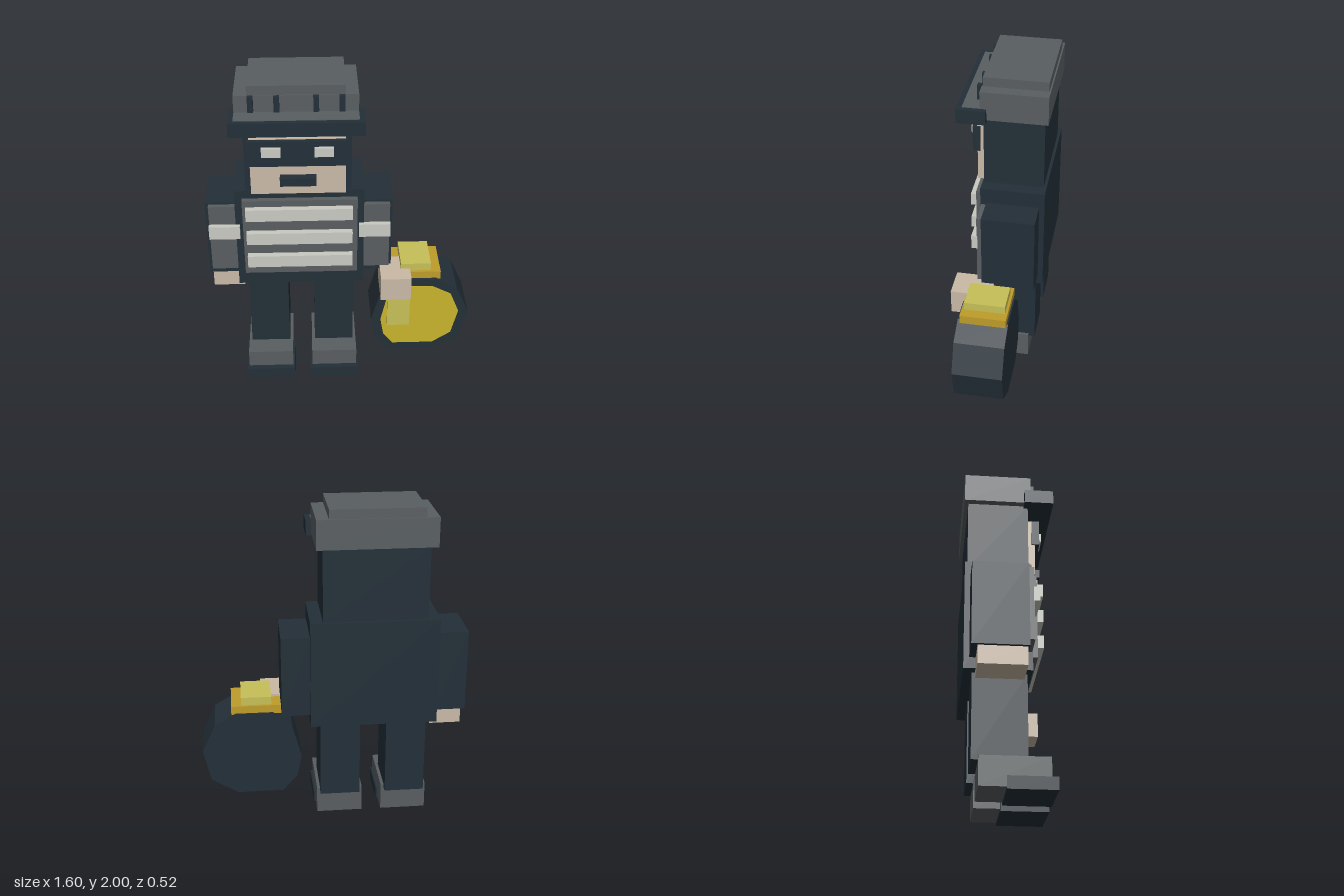
import * as THREE from 'three';

const mat = (name, color) => {
  const m = new THREE.MeshStandardMaterial({ color });
  m.name = name;
  return m;
};

export function createModel() {
  const navy = mat('navy', 0x232f38);
  const grey = mat('grey', 0x595e61);
  const skin = mat('skin', 0xcabaa7);
  const white = mat('offWhite', 0xc8cac2);
  const gold = mat('gold', 0xbf9d2b);
  const yellow = mat('yellow', 0xc8b42c);
  const paleYellow = mat('paleYellow', 0xc7c058);

  const model = new THREE.Group();
  model.name = 'burglarFigure';
  const group = (name) => {
    const g = new THREE.Group();
    g.name = name;
    model.add(g);
    return g;
  };

  // Box from its extents on each axis
  const box = (parent, name, material, [x0, x1], [y0, y1], [z0, z1]) => {
    const mesh = new THREE.Mesh(new THREE.BoxGeometry(x1 - x0, y1 - y0, z1 - z0), material);
    mesh.position.set((x0 + x1) / 2, (y0 + y1) / 2, (z0 + z1) / 2);
    mesh.name = name;
    parent.add(mesh);
  };

  // Polygon in the front plane, extruded from z0 to z1
  const slab = (parent, name, material, points, z0, z1) => {
    const shape = new THREE.Shape(points.map(([x, y]) => new THREE.Vector2(x, y)));
    const geo = new THREE.ExtrudeGeometry(shape, { depth: z1 - z0, bevelEnabled: false });
    const mesh = new THREE.Mesh(geo, material);
    mesh.position.z = z0;
    mesh.name = name;
    parent.add(mesh);
  };

  // Head and face
  const head = group('head');
  box(head, 'hair', navy, [-0.555, 0.065], [1.33, 1.77], [-0.24, 0.115]);
  box(head, 'face', skin, [-0.52, 0.03], [1.33, 1.69], [0.115, 0.158]);
  box(head, 'mask', navy, [-0.53, 0.04], [1.525, 1.685], [0.14, 0.184]);
  for (const x of [-0.395, -0.095]) {
    box(head, 'eye', white, [x - 0.055, x + 0.055], [1.595, 1.65], [0.18, 0.206]);
  }
  box(head, 'moustache', navy, [-0.35, -0.14], [1.405, 1.457], [0.158, 0.206]);
  box(head, 'mouth', skin, [-0.322, -0.167], [1.36, 1.405], [0.155, 0.196]);

  // Cap
  const cap = group('cap');
  box(cap, 'capBand', grey, [-0.595, 0.103], [1.77, 1.945], [-0.262, 0.128]);
  box(cap, 'capTop', grey, [-0.52, 0.03], [1.945, 2], [-0.253, 0.122]);
  box(cap, 'brim', navy, [-0.625, 0.135], [1.755, 1.84], [0.09, 0.26]);
  box(cap, 'brimInlay', grey, [-0.595, 0.103], [1.838, 1.844], [0.125, 0.23]);
  for (const x of [-0.5, -0.355, -0.135, 0.01]) {
    box(cap, 'capTab', navy, [x - 0.016, x + 0.016], [1.855, 1.945], [0.125, 0.156]);
  }

  // Torso with striped shirt front
  const torso = group('torso');
  box(torso, 'jacket', navy, [-0.625, 0.14], [0.665, 1.33], [-0.257, 0.125]);
  box(torso, 'shirt', grey, [-0.58, 0.1], [0.765, 1.28], [0.125, 0.158]);
  for (const y of [1.2, 1.035, 0.872]) {
    box(torso, 'shirtStripe', white, [-0.56, 0.07], [y - 0.039, y + 0.039], [0.155, 0.196]);
  }

  // Arms
  const rightArm = group('rightArm');
  box(rightArm, 'sleeve', navy, [-0.803, -0.62], [0.73, 1.233], [-0.225, 0.09]);
  box(rightArm, 'sleevePanel', grey, [-0.783, -0.625], [0.775, 1.22], [0.088, 0.12]);
  box(rightArm, 'sleeveStripe', white, [-0.785, -0.6], [1.01, 1.097], [0.115, 0.151]);
  box(rightArm, 'hand', skin, [-0.785, -0.595], [0.622, 0.735], [-0.19, 0.08]);

  const leftArm = group('leftArm');
  box(leftArm, 'sleeve', navy, [0.135, 0.312], [0.73, 1.233], [-0.225, 0.09]);
  box(leftArm, 'sleevePanel', grey, [0.14, 0.295], [0.775, 1.22], [0.088, 0.12]);
  box(leftArm, 'sleeveStripe', white, [0.11, 0.298], [1.01, 1.097], [0.115, 0.151]);
  box(leftArm, 'hand', skin, [0.242, 0.427], [0.61, 0.765], [0.015, 0.256]);

  // Legs and boots
  [['rightLeg', -0.447], ['leftLeg', -0.043]].forEach(([name, x]) => {
    const leg = group(name);
    box(leg, 'trouser', navy, [x - 0.122, x + 0.122], [0.165, 0.667], [-0.207, 0.1]);
    box(leg, 'boot', grey, [x - 0.141, x + 0.141], [0.015, 0.185], [-0.168, 0.222]);
    box(leg, 'sole', navy, [x - 0.151, x + 0.151], [0, 0.073], [-0.017, 0.256]);
  });

  // Loot bag
  const bag = group('lootBag');
  slab(bag, 'bagBody', navy, [
    [0.19, 0.4], [0.215, 0.26], [0.31, 0.155], [0.59, 0.155], [0.755, 0.255],
    [0.8, 0.455], [0.72, 0.63], [0.59, 0.703], [0.36, 0.703], [0.245, 0.6],
  ], -0.12, 0.18);
  slab(bag, 'bagFace', yellow, [
    [0.25, 0.4], [0.27, 0.285], [0.33, 0.207], [0.585, 0.207], [0.7, 0.285],
    [0.74, 0.455], [0.685, 0.59], [0.565, 0.653], [0.37, 0.653], [0.285, 0.56],
  ], 0.179, 0.184);
  box(bag, 'bagNeck', gold, [0.305, 0.616], [0.695, 0.75], [-0.11, 0.164]);
  box(bag, 'bagTop', paleYellow, [0.37, 0.555], [0.75, 0.8], [-0.095, 0.147]);
  box(bag, 'bagStrap', paleYellow, [0.29, 0.43], [0.365, 0.62], [0.18, 0.2]);

  return model;
}
